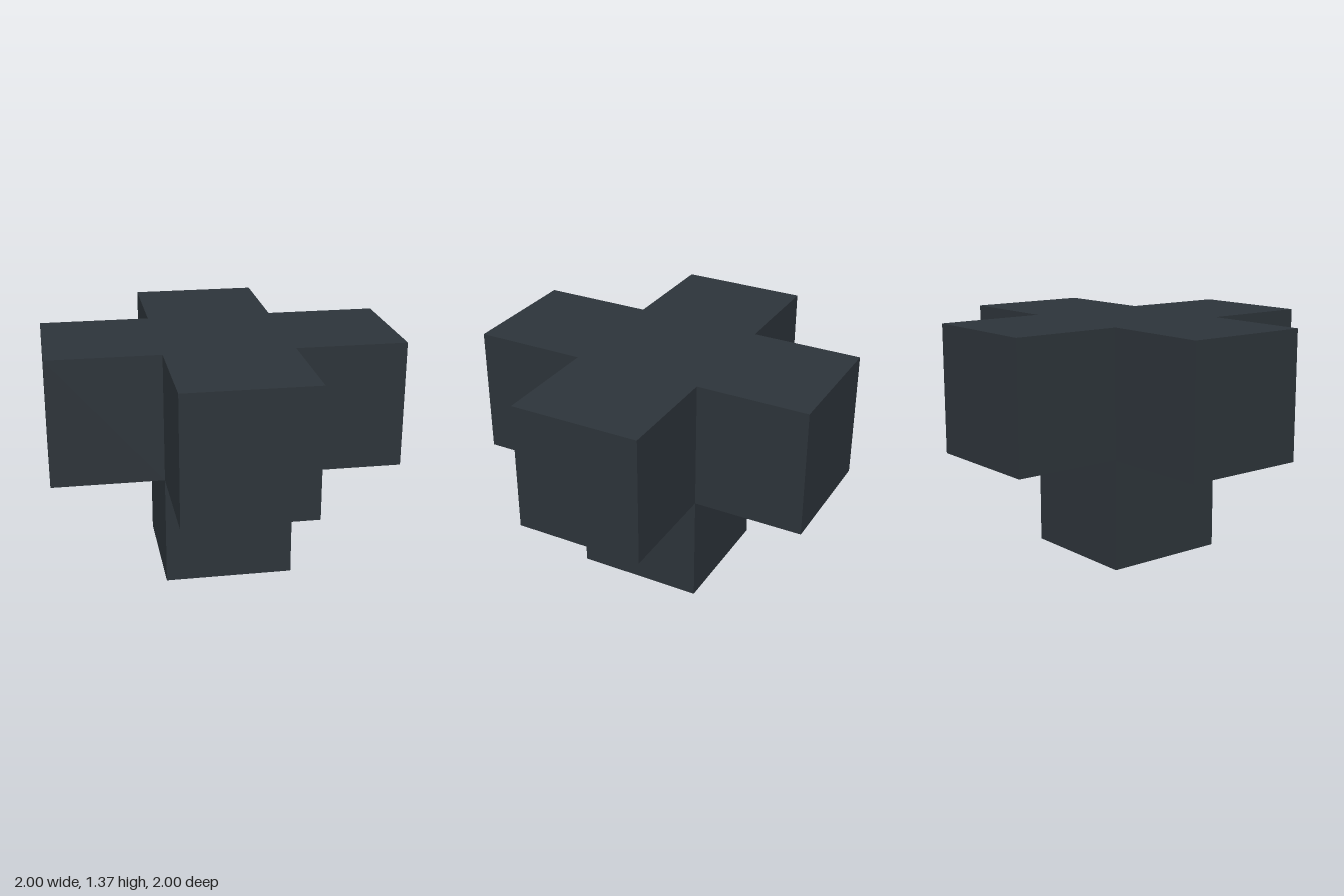
import * as THREE from 'three';

const HALF = 0.366; // half the width of every arm
const REACH = 1; // distance from the centre to an arm's end
const STEM = REACH - HALF; // height of the stem below the arms

export function createModel() {
  const group = new THREE.Group();
  group.name = 'crossBlock';

  const slate = new THREE.MeshStandardMaterial({ color: 0x2d343a });
  slate.name = 'dark slate';

  // Four horizontal arms: one quarter of the outline, turned four times
  const outline = [];
  const centre = new THREE.Vector2();
  for (let i = 0; i < 4; i++) {
    for (const [x, y] of [[REACH, -HALF], [REACH, HALF], [HALF, HALF]]) {
      outline.push(new THREE.Vector2(x, y).rotateAround(centre, i * Math.PI / 2));
    }
  }
  const armsGeometry = new THREE.ExtrudeGeometry(new THREE.Shape(outline), {
    depth: 2 * HALF,
    bevelEnabled: false,
  });
  armsGeometry.rotateX(-Math.PI / 2);
  const arms = new THREE.Mesh(armsGeometry, slate);
  arms.name = 'crossArms';
  arms.position.y = STEM;
  group.add(arms);

  // Square stem standing on the ground
  const stem = new THREE.Mesh(new THREE.BoxGeometry(2 * HALF, STEM, 2 * HALF), slate);
  stem.name = 'stem';
  stem.position.y = STEM / 2;
  group.add(stem);

  return group;
}
